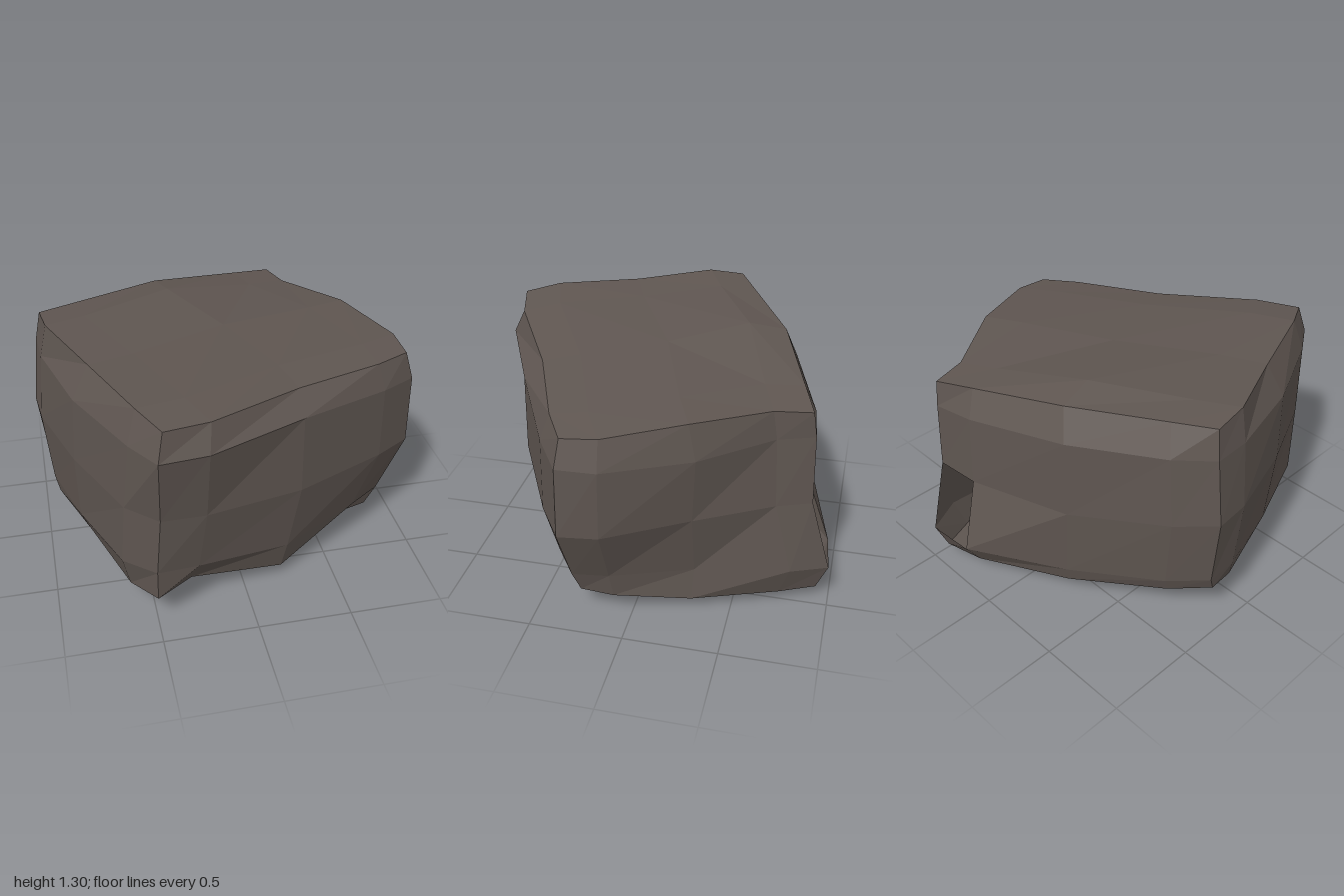
import * as THREE from 'three';

// Upright profiles, each listed from the bottom rim to the top rim.
// Corners and side middles alternate anticlockwise from the front left edge.
const profiles = [
  [[-0.50, 0.17, 0.87], [-0.50, 0.35, 0.88], [-0.48, 0.70, 0.91], [-0.49, 1.09, 0.99], [-0.46, 1.24, 0.95]],
  [[0.21, 0.07, 0.64], [0.23, 0.24, 0.68], [0.28, 0.63, 0.72], [0.28, 1.06, 0.71], [0.28, 1.17, 0.60]],
  [[0.81, 0.12, 0.27], [0.86, 0.25, 0.30], [1.00, 0.58, 0.32], [1.00, 0.97, 0.31], [0.96, 1.12, 0.29]],
  [[0.70, 0.07, -0.30], [0.68, 0.25, -0.31], [0.76, 0.61, -0.31], [0.80, 0.98, -0.33], [0.78, 1.17, -0.29]],
  [[0.45, 0.07, -0.93], [0.47, 0.22, -0.99], [0.48, 0.62, -0.88], [0.47, 1.00, -0.87], [0.48, 1.14, -0.85]],
  [[-0.27, 0.11, -0.65], [-0.28, 0.20, -0.67], [-0.31, 0.62, -0.68], [-0.31, 1.07, -0.68], [-0.25, 1.24, -0.62]],
  [[-0.94, 0.24, -0.24], [-0.95, 0.32, -0.27], [-1.00, 0.74, -0.29], [-0.96, 1.12, -0.29], [-0.93, 1.28, -0.27]],
  [[-0.78, 0.18, 0.25], [-0.83, 0.33, 0.30], [-0.84, 0.73, 0.35], [-0.82, 1.10, 0.37], [-0.73, 1.27, 0.33]],
].map((p) => p.map((v) => new THREE.Vector3(...v)));

// Extra column after each profile: outward push per level, then the lift of
// the bottom rim and of the top rim
const columns = [
  { push: [-0.06, 0.01, 0.03, 0.05, 0.04], lift: [0.03, 0] },
  { push: [-0.04, 0.01, 0.02, 0.02, 0.02], lift: [0.03, 0] },
  { push: [0.03, 0.03, 0.06, 0.06, 0.05], lift: [0, 0] },
  { push: [0, 0.03, -0.02, -0.05, -0.05], lift: [-0.01, 0] },
  { push: [0.04, 0.08, 0.04, 0.03, 0], lift: [0, 0] },
  { push: [0.03, 0.03, 0.03, 0.03, 0], lift: [0, 0] },
  { push: [0.03, 0.03, 0.03, 0.03, 0.04], lift: [0, 0.02] },
  { push: [0.04, 0.07, 0.06, 0.02, 0.02], lift: [-0.02, 0.02] },
];

// One closed ring of 16 points at a given level
function makeRing(level) {
  return columns.flatMap(({ push, lift }, i) => {
    const a = profiles[i][level];
    const b = profiles[(i + 1) % 8][level];
    const out = new THREE.Vector3(a.z - b.z, 0, b.x - a.x).normalize();
    const p = a.clone().lerp(b, i % 2 ? 0.7 : 0.3); // close to the corner
    p.addScaledVector(out, push[level]);
    if (level === 0) p.y += lift[0];
    if (level === 4) p.y += lift[1];
    return [a, p];
  });
}

export function createModel() {
  const group = new THREE.Group();
  group.name = 'rock';
  const stone = new THREE.MeshStandardMaterial({ color: 0x5f5651, side: THREE.DoubleSide });
  stone.name = 'dark stone';

  const addFaceted = (name, points) => {
    const geometry = new THREE.BufferGeometry().setFromPoints(points);
    geometry.computeVertexNormals(); // unshared corners give flat facets
    const mesh = new THREE.Mesh(geometry, stone);
    mesh.name = name;
    group.add(mesh);
  };
  const quad = (list, a, b, c, d) => list.push(a, b, c, a, c, d);

  // Side walls, with one chipped opening beside the back edge
  const rings = [0, 1, 2, 3, 4].map(makeRing);
  const walls = [];
  for (let l = 0; l < 4; l++) {
    for (let i = 0; i < 16; i++) {
      if (l === 1 && i === 8) continue;
      const j = (i + 1) % 16;
      quad(walls, rings[l][i], rings[l][j], rings[l + 1][j], rings[l + 1][i]);
    }
  }
  addFaceted('rockWalls', walls);

  // Caps: a 4 x 4 patch blended from the rim, with small bumps on inner points
  const steps = [0, 0.15, 0.5, 0.85, 1];
  const cap = (name, rim, up, bumps) => {
    const grid = steps.map((v, j) => steps.map((u, i) => {
      if (j === 0) return rim[i];
      if (j === 4) return rim[12 - i];
      if (i === 0) return rim[16 - j];
      if (i === 4) return rim[4 + j];
      const p = rim[i].clone().lerp(rim[12 - i], v);
      p.add(rim[16 - j].clone().lerp(rim[4 + j], u));
      const front = rim[0].clone().lerp(rim[4], u);
      p.sub(front.lerp(rim[12].clone().lerp(rim[8], u), v));
      p.y += bumps[j - 1][i - 1];
      return p;
    }));
    const faces = [];
    for (let j = 0; j < 4; j++) {
      for (let i = 0; i < 4; i++) {
        const [a, b, c, d] = [grid[j][i], grid[j][i + 1], grid[j + 1][i + 1], grid[j + 1][i]];
        if (up) quad(faces, a, b, c, d);
        else quad(faces, d, c, b, a);
      }
    }
    addFaceted(name, faces);
  };
  cap('rockTop', rings[4], true, [[0, 0, 0], [0, 0, 0], [0, 0.03, 0]]);
  cap('rockUnderside', rings[0], false, [[0, -0.065, 0], [0, 0.01, 0], [0, 0, 0]]);

  return group;
}
